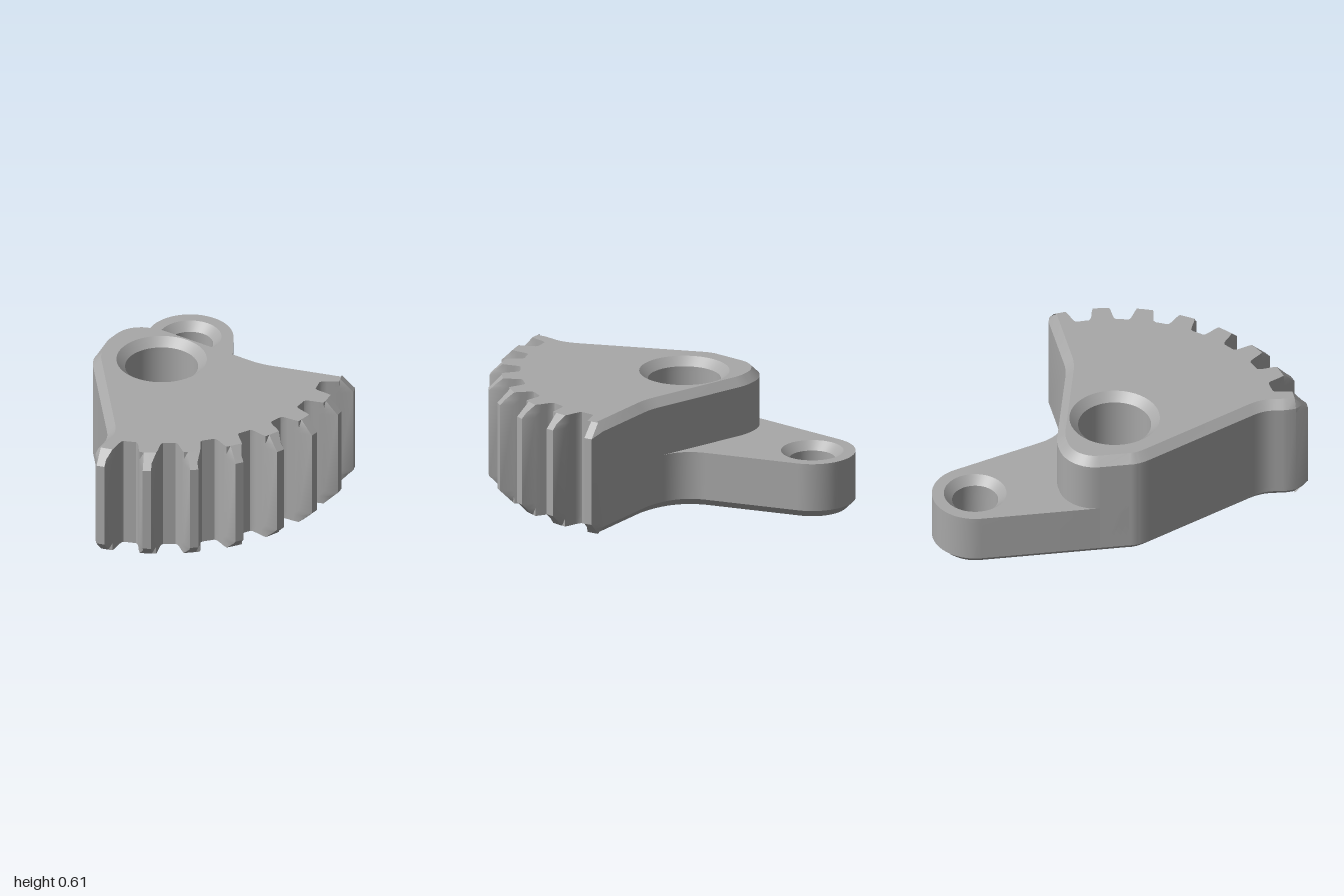
import * as THREE from 'three';
import { toCreasedNormals } from 'three/addons/utils/BufferGeometryUtils.js';

const CX = -0.328, CZ = -0.013;   // shaft axis
const LZ = -0.775;                // lever pin axis
const H = 0.61, LEVER_H = 0.3;

// Points of a plan path; c = 1 marks edges that get a side chamfer
const mark = (pts, c) => pts.map(p => ({ x: p.x, z: p.y, c }));

// Insets the marked points and limits the radius around the shaft
function inset(pts, d, maxR = 9) {
  const n = pts.length;
  return pts.map((p, i) => {
    let { x, z } = p;
    if (p.c && d > 0) {
      const normals = [];
      for (const [a, b] of [[pts[(i + n - 1) % n], p], [p, pts[(i + 1) % n]]]) {
        const dx = b.x - a.x, dz = b.z - a.z, l = Math.hypot(dx, dz);
        if (a.c && b.c && l > 1e-6) normals.push(new THREE.Vector2(dz / l, -dx / l));
      }
      const m = normals.reduce((s, v) => s.add(v), new THREE.Vector2()).normalize();
      const k = d / Math.max(0.5, m.dot(normals[0]));
      x -= m.x * k;
      z -= m.y * k;
    }
    const r = Math.hypot(x - CX, z - CZ), s = Math.min(1, maxR / r);
    return new THREE.Vector2(CX + (x - CX) * s, CZ + (z - CZ) * s);
  });
}

function circle(x, z, r, n = 48) {
  return Array.from({ length: n }, (_, i) => {
    const a = -i / n * Math.PI * 2;
    return new THREE.Vector2(x + r * Math.cos(a), z + r * Math.sin(a));
  });
}

// Stacks plan rings into a closed solid with one hole
function loft(levels) {
  const v = [];
  const put = (p, y) => v.push(p.x, y, p.y);
  for (let k = 0; k + 1 < levels.length; k++) {
    const A = levels[k], B = levels[k + 1];
    for (const key of ['outer', 'hole']) {
      const a = A[key], b = B[key], n = a.length;
      for (let i = 0; i < n; i++) {
        const j = (i + 1) % n;
        put(a[i], A.y); put(b[i], B.y); put(a[j], A.y);
        put(a[j], A.y); put(b[i], B.y); put(b[j], B.y);
      }
    }
  }
  for (const [L, up] of [[levels[0], -1], [levels[levels.length - 1], 1]]) {
    const all = [...L.outer, ...L.hole];
    for (const t of THREE.ShapeUtils.triangulateShape(L.outer.slice(), [L.hole.slice()])) {
      const [a, b, c] = t.map(i => all[i]);
      const ny = (b.y - a.y) * (c.x - a.x) - (b.x - a.x) * (c.y - a.y);
      for (const p of ny * up > 0 ? [a, b, c] : [a, c, b]) put(p, L.y);
    }
  }
  const g = new THREE.BufferGeometry();
  g.setAttribute('position', new THREE.Float32BufferAttribute(v, 3));
  return toCreasedNormals(g, Math.PI / 6);
}

// Eight teeth of a 26-tooth wheel, then the chamfered flanks and hub
function gearOutline() {
  const profile = [[0.85, 0.07], [0.86, 0.061], [0.885, 0.055], [0.92, 0.05], [0.95, 0.043], [1.02, 0.022]];
  const pts = [];
  for (let i = 0; i < 8; i++) {
    const a = i * Math.PI * 2 / 26, c = Math.cos(a), s = Math.sin(a);
    const add = (r, h) => pts.push({ x: CX + r * c - h * s, z: CZ + r * s + h * c, c: 0 });
    if (i === 0) add(1.02, -0.022);
    else profile.forEach(([r, h]) => add(r, -h));
    if (i === 7) add(1.02, 0.022);
    else [...profile].reverse().forEach(([r, h]) => add(r, h));
  }
  const side = new THREE.Path();
  side.moveTo(-0.492, 0.924);
  side.lineTo(-0.489, 0.875);
  side.bezierCurveTo(-0.475, 0.81, -0.452, 0.78, -0.475, 0.7);
  side.lineTo(-0.67, 0.08);
  side.quadraticCurveTo(-0.697, 0.0, -0.682, -0.05);
  side.lineTo(-0.656, -0.2);
  side.bezierCurveTo(-0.64, -0.3, -0.54, -0.37, -0.43, -0.352);
  side.quadraticCurveTo(-0.39, -0.35, -0.35, -0.335);
  side.lineTo(0.13, -0.133);
  side.quadraticCurveTo(0.19, -0.106, 0.25, -0.1);
  side.lineTo(0.622, -0.063);
  return [...pts, ...mark(side.getPoints(10), 1)];
}

// Lever arm with a rounded end and a fillet against the hub
function leverOutline() {
  const p = new THREE.Path();
  p.moveTo(-0.682, -0.05);
  p.lineTo(-0.656, -0.2);
  p.absarc(CX, LZ, 0.225, Math.PI + 0.171, Math.PI * 2 - 0.171, false);
  p.lineTo(-0.02, -0.32);
  p.quadraticCurveTo(0.002, -0.187, 0.13, -0.133);
  // the closing edge runs inside the hub, clear of the bore
  const inner = [[0.12, -0.05], [-0.05, -0.05], [-0.1, -0.17], [CX, -0.275], [-0.53, -0.19], [-0.6, -0.04]];
  return [...mark(p.getPoints(14), 1), ...inner.map(([x, z]) => ({ x, z, c: 0 }))];
}

export function createModel() {
  const metal = new THREE.MeshStandardMaterial({ color: 0xa8a8a8 });
  metal.name = 'grey metal';
  const group = new THREE.Group();
  group.name = 'sectorGearLever';

  // Toothed sector: chamfered flanks, conical tooth tips, countersunk bore
  const gear = gearOutline();
  const ch = 0.043;
  const gearLevels = [0, ch, 0.07, H - 0.07, H - ch, H].map(y => {
    const d = Math.min(y, H - y);
    return {
      y,
      outer: inset(gear, Math.max(0, ch - d), d < 0.069 ? 0.95 + d : 9),
      hole: circle(CX, CZ, 0.19 + Math.max(0, 0.045 - d * 0.045 / ch))
    };
  });
  const sector = new THREE.Mesh(loft(gearLevels), metal);
  sector.name = 'toothedSector';
  group.add(sector);

  // Lever: chamfered underneath only, pin hole countersunk at both ends
  const lever = leverOutline();
  const leverLevels = [0, ch, LEVER_H - ch, LEVER_H].map(y => ({
    y,
    outer: inset(lever, Math.max(0, ch - y)),
    hole: circle(CX, LZ, 0.12 + Math.max(0, ch - Math.min(y, LEVER_H - y)))
  }));
  const arm = new THREE.Mesh(loft(leverLevels), metal);
  arm.name = 'leverArm';
  group.add(arm);

  return group;
}
